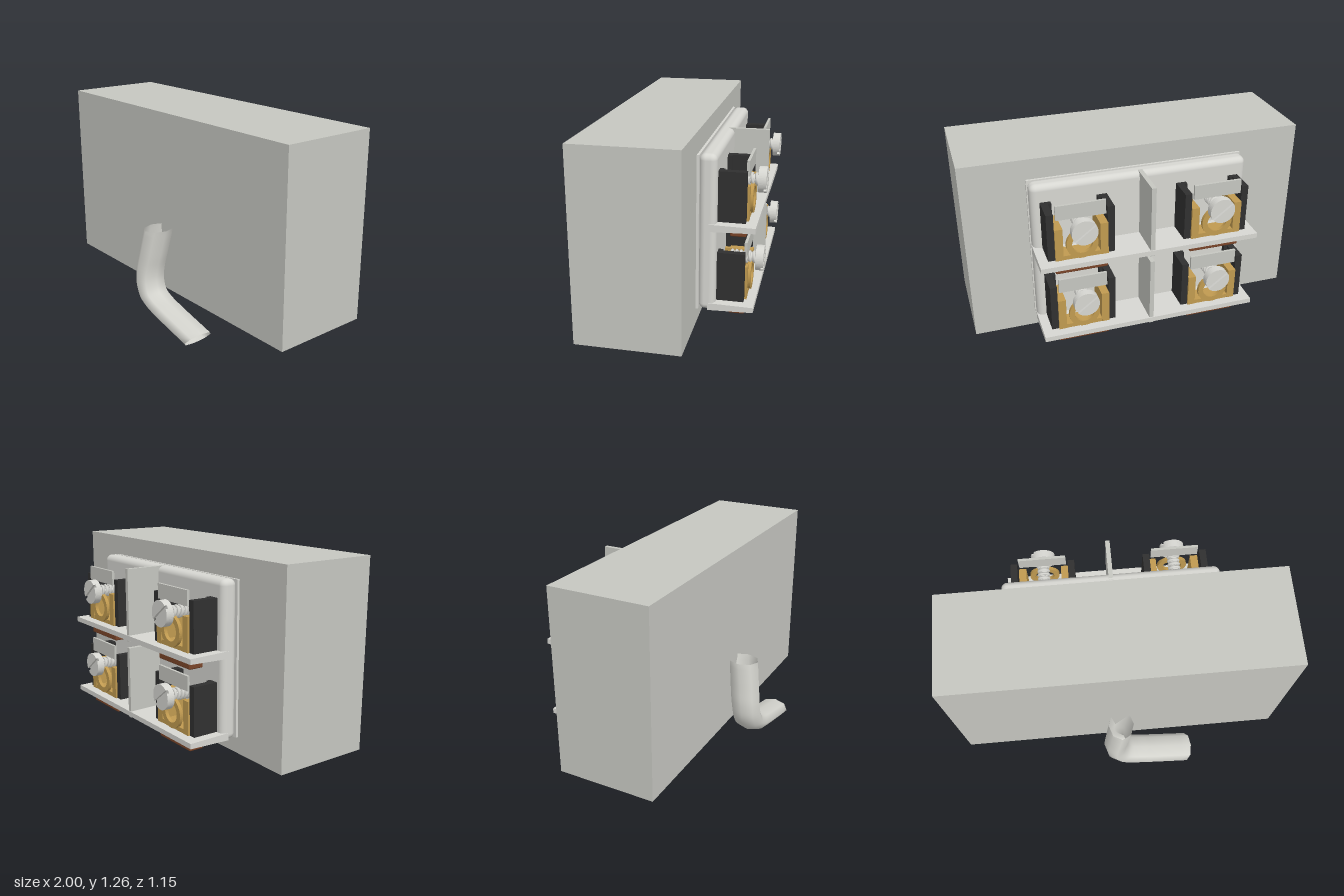
import * as THREE from 'three';
import { RoundedBoxGeometry } from 'three/addons/geometries/RoundedBoxGeometry.js';

const mat = (name, color, side = THREE.FrontSide) => {
  const m = new THREE.MeshStandardMaterial({ color, side });
  m.name = name;
  return m;
};

export function createModel() {
  const M = {
    box: mat('wall grey', 0xc5c6c0),
    light: mat('light grey', 0xd6d6d1),
    tube: mat('tube grey', 0xd2d2cc, THREE.DoubleSide),
    black: mat('black', 0x303030),
    brass: mat('brass', 0xc09a50),
    brown: mat('brown', 0x7a4529),
  };
  const root = new THREE.Group();
  root.name = 'terminalBox';

  const add = (parent, name, geo, material) => {
    const m = new THREE.Mesh(geo, material);
    m.name = name;
    parent.add(m);
    return m;
  };
  // Box given by its limits along each axis; r rounds the edges
  const block = (parent, name, material, [x0, x1], [y0, y1], [z0, z1], r = 0) => {
    const s = [x1 - x0, y1 - y0, z1 - z0];
    const g = r ? new RoundedBoxGeometry(...s, 4, r) : new THREE.BoxGeometry(...s);
    g.translate((x0 + x1) / 2, (y0 + y1) / 2, (z0 + z1) / 2);
    return add(parent, name, g, material);
  };
  const extrude = (shape, depth, z, segs = 24) =>
    new THREE.ExtrudeGeometry(shape, { depth, bevelEnabled: false, curveSegments: segs }).translate(0, 0, z);

  // Main housing and the raised terminal base on its back
  block(root, 'housing', M.box, [-1, 1], [0.17, 1.27], [-0.225, 0.365]);
  block(root, 'baseFlange', M.light, [-0.637, 0.637], [0.265, 1.15], [-0.239, -0.22]);
  block(root, 'terminalBase', M.light, [-0.635, 0.635], [0.26, 1.155], [-0.332, -0.236], 0.035);

  // Slotted screw, axis along z, head facing the back
  function screw() {
    const g = new THREE.Group();
    g.name = 'screw';
    const R = 0.073;
    add(g, 'screwShaft', new THREE.CylinderGeometry(0.027, 0.027, 0.155, 16).rotateX(Math.PI / 2).translate(0, 0, -0.462), M.light);
    for (let i = 0; i < 6; i++) {
      const t = add(g, 'screwThread', new THREE.TorusGeometry(0.03, 0.009, 6, 20), M.light);
      t.position.z = -0.395 - i * 0.025;
      t.rotation.x = 0.18;
    }
    const disc = new THREE.Shape().absarc(0, 0, R, 0, Math.PI * 2);
    add(g, 'screwHead', extrude(disc, 0.03, -0.56), M.light);
    const a = 0.13;
    for (const turn of [0, Math.PI]) {
      const half = new THREE.Shape().absarc(0, 0, R, a, Math.PI - a);
      add(g, 'screwHeadHalf', extrude(half, 0.016, -0.575), M.light).rotation.z = turn - 0.65;
    }
    return g;
  }

  // One screw terminal; y = 0 is the top of its shelf
  function terminal() {
    const g = new THREE.Group();
    g.name = 'terminal';
    for (const s of [-1, 1]) {
      const span = (a, b) => (s > 0 ? [a, b] : [-b, -a]);
      block(g, 'insulatorWall', M.black, span(0.15, 0.19), [0, 0.285], [-0.485, -0.325]);
      block(g, 'insulatorLip', M.black, span(0.13, 0.16), [0, 0.285], [-0.36, -0.325]);
      block(g, 'brassSide', M.brass, span(0.105, 0.15), [0, 0.195], [-0.497, -0.33]);
    }
    block(g, 'brassFoot', M.brass, [-0.11, 0.11], [0, 0.025], [-0.495, -0.4]);
    // Brass clamp ring below the screw
    const ring = new THREE.Shape().absarc(0, 0.095, 0.09, 0, Math.PI * 2);
    ring.holes.push(new THREE.Path().absarc(0, 0.095, 0.058, 0, Math.PI * 2, true));
    add(g, 'clampRing', extrude(ring, 0.02, -0.508), M.brass);
    block(g, 'markerPlate', M.box, [-0.14, 0.14], [0.25, 0.335], [-0.492, -0.477]);
    block(g, 'terminalFoot', M.brown, [-0.15, 0.15], [-0.095, -0.03], [-0.485, -0.395], 0.008);
    const sc = screw();
    sc.position.y = 0.197;
    g.add(sc);
    return g;
  }

  // Two rows: shelf, centre divider and a pair of terminals
  for (const y of [0.305, 0.77]) {
    const row = new THREE.Group();
    row.name = 'terminalRow';
    row.position.y = y;
    root.add(row);
    // Shelf section is slightly thinner towards its outer edge
    const profile = new THREE.Shape([[0.29, -0.042], [0.545, -0.034], [0.545, -0.004], [0.29, 0]]
      .map(([x, v]) => new THREE.Vector2(x, v)));
    add(row, 'shelf', extrude(profile, 1.276, -0.638).rotateY(Math.PI / 2), M.light);
    block(row, 'divider', M.box, [-0.013, 0.013], [-0.042, 0.385], [-0.54, -0.285]);
    for (const x of [-0.395, 0.395]) {
      const t = terminal();
      t.position.x = x;
      row.add(t);
    }
  }

  // Hollow spout: each section is [outer x, outer y, inner x, inner y, centre z]
  const sections = [
    [-0.08, 0.585, 0.075, 0.585, 0.428], [-0.1, 0.43, 0.048, 0.43, 0.452],
    [-0.113, 0.32, 0.032, 0.325, 0.468], [-0.105, 0.23, 0.037, 0.262, 0.476],
    [-0.06, 0.15, 0.06, 0.213, 0.48], [0.01, 0.103, 0.11, 0.184, 0.48],
    [0.12, 0.07, 0.2, 0.157, 0.48], [0.4, 0.005, 0.47, 0.09, 0.478],
  ];
  const sides = 8, steps = 32, pos = [], idx = [];
  const outer = new THREE.CatmullRomCurve3(sections.map(s => new THREE.Vector3(s[0], s[1], s[4])));
  const inner = new THREE.CatmullRomCurve3(sections.map(s => new THREE.Vector3(s[2], s[3], s[4])));
  for (let i = 0; i <= steps; i++) {
    const A = outer.getPoint(i / steps), B = inner.getPoint(i / steps);
    for (let j = 0; j < sides; j++) {
      const a = (j / sides) * Math.PI * 2;
      const p = A.clone().lerp(B, 0.5 + 0.5 * Math.cos(a));
      pos.push(p.x, p.y, p.z + 0.095 * Math.sin(a));
      if (i < steps) {
        const k = i * sides + j, n = i * sides + (j + 1) % sides;
        idx.push(k, n, k + sides, n, n + sides, k + sides);
      }
    }
  }
  const spout = new THREE.BufferGeometry();
  spout.setAttribute('position', new THREE.Float32BufferAttribute(pos, 3));
  spout.setIndex(idx);
  spout.computeVertexNormals();
  add(root, 'spout', spout, M.tube);

  return root;
}
